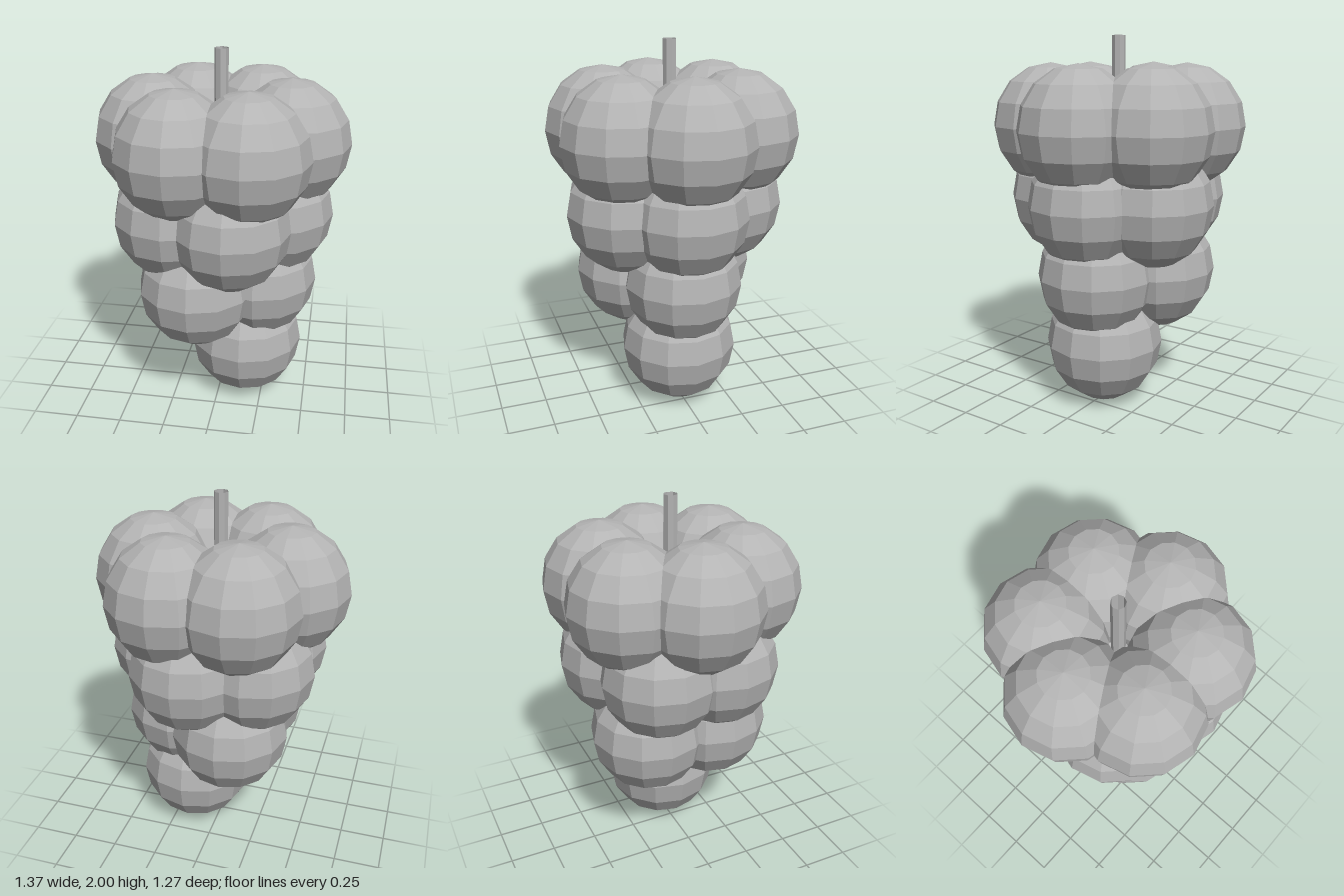
import * as THREE from 'three';

export function createModel() {
  const group = new THREE.Group();
  group.name = 'grapeBunch';

  const grey = new THREE.MeshStandardMaterial({ color: 0xb4b4b4, flatShading: true, side: THREE.DoubleSide });
  grey.name = 'plain grey';

  // One faceted grape, slightly taller than wide
  const grapeGeometry = new THREE.SphereGeometry(0.32, 12, 8);
  grapeGeometry.scale(1, 1.045, 1);

  // Rings of grapes from the bottom up: count and ring radius
  const rings = [
    { count: 1, radius: 0.145 },
    { count: 3, radius: 0.215 },
    { count: 5, radius: 0.29 },
    { count: 6, radius: 0.365 },
  ];
  rings.forEach(({ count, radius }, level) => {
    const ring = new THREE.Group();
    ring.name = `grapeRing${level + 1}`;
    ring.position.y = 0.336 + level * 0.396;
    for (let i = 0; i < count; i++) {
      const angle = (i / count) * Math.PI * 2;
      const grape = new THREE.Mesh(grapeGeometry, grey);
      grape.name = 'grape';
      grape.position.set(radius * Math.cos(angle), 0, radius * Math.sin(angle));
      ring.add(grape);
    }
    group.add(ring);
  });

  // Thin open stem rising from the middle of the bunch
  const stemBottom = 1.25;
  const stem = new THREE.Mesh(new THREE.CylinderGeometry(0.037, 0.037, 2 - stemBottom, 8, 1, true), grey);
  stem.name = 'stem';
  stem.position.y = (2 + stemBottom) / 2;
  group.add(stem);

  return group;
}
